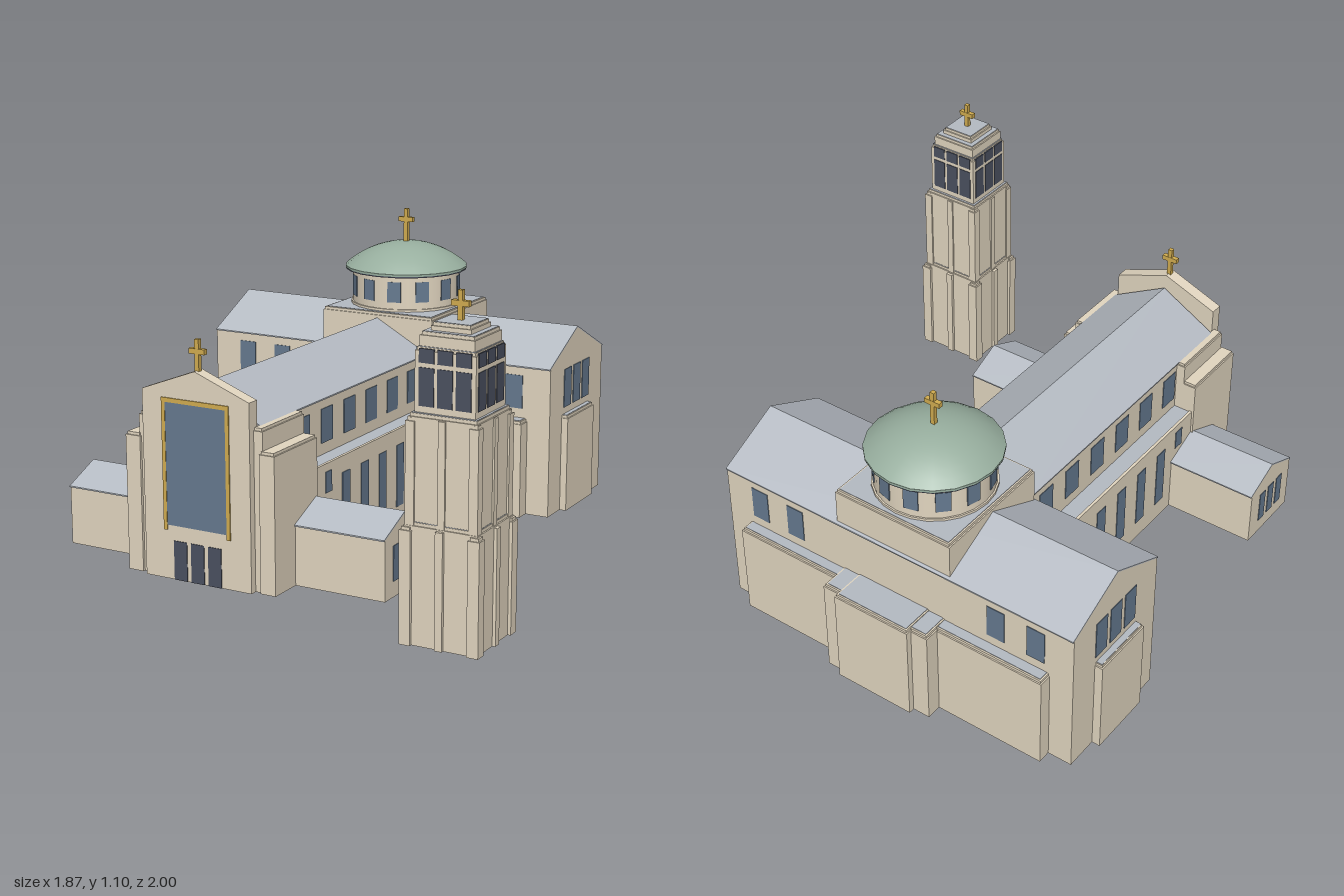
import * as THREE from 'three';

const mat = (name, color, extra = {}) => {
  const m = new THREE.MeshStandardMaterial({ color, ...extra });
  m.name = name;
  return m;
};

// removes the floor, leaving a shell open below
const openBelow = (geo) => {
  const g = geo.index ? geo.toNonIndexed() : geo;
  g.computeBoundingBox();
  const low = g.boundingBox.min.y + 1e-5;
  const p = g.attributes.position;
  const keep = [];
  for (let i = 0; i < p.count; i += 3)
    if (Math.max(p.getY(i), p.getY(i + 1), p.getY(i + 2)) > low) keep.push(i, i + 1, i + 2);
  g.clearGroups();
  g.setIndex(keep);
  return g;
};

export function createModel() {
  const stone = mat('stone', 0xe2d6c0, { side: THREE.DoubleSide });
  const slate = mat('slate', 0xb5bbc3);
  const copper = mat('copper', 0x98af9f);
  const glass = mat('glass', 0x667a90);
  const dark = mat('darkOpening', 0x4b5160);
  const gold = mat('gold', 0xd2ad50);

  const model = new THREE.Group();
  model.name = 'church';
  const CX = -0.1875; // church axis
  const CZ = -0.635;  // crossing centre

  const add = (parent, name, geo, material, x = 0, y = 0, z = 0) => {
    const m = new THREE.Mesh(geo, material);
    m.name = name;
    m.position.set(x, y, z);
    parent.add(m);
    return m;
  };
  // box given by its extents
  const block = (parent, name, material, x0, x1, y0, y1, z0, z1) =>
    add(parent, name, new THREE.BoxGeometry(x1 - x0, y1 - y0, z1 - z0), material,
      (x0 + x1) / 2, (y0 + y1) / 2, (z0 + z1) / 2);
  // open shell with a stepped coping, and optionally a flat slate roof inside it
  const coped = (parent, name, x0, x1, y0, y1, z0, z1, inset = 0.011) => {
    const c = 0.005;
    const shell = block(parent, name, stone, x0, x1, y0, y1 - 0.01, z0, z1);
    shell.geometry = openBelow(shell.geometry);
    block(parent, name + 'Coping', stone, x0 + c, x1 - c, y1 - 0.01, y1, z0 + c, z1 - c);
    if (inset) block(parent, name + 'Roof', slate, x0 + inset, x1 - inset, y1 - 0.004, y1 + 0.002, z0 + inset, z1 - inset);
  };
  const extrude = (pts, depth) =>
    new THREE.ExtrudeGeometry(new THREE.Shape(pts.map(([a, b]) => new THREE.Vector2(a, b))),
      { depth, bevelEnabled: false }).translate(0, 0, -depth / 2);
  // gabled volume with a thin oversailing roof; ridge runs along z, or along x when turned
  const EAVE = 0.006;
  const gabled = (name, x, z, half, length, base, eave, ridge, alongX) => {
    const g = new THREE.Group();
    g.name = name;
    const t = 0.005, w = half - EAVE;
    const wallTop = eave - t + (ridge - eave) * EAVE / half;
    add(g, name + 'Walls', openBelow(extrude([[-w, base], [w, base], [w, wallTop], [0, ridge - t], [-w, wallTop]], length)), stone);
    add(g, name + 'Roof', extrude([[-half, eave], [0, ridge], [half, eave], [half, eave - t], [0, ridge - t], [-half, eave - t]], length), slate);
    g.position.set(x, 0, z);
    if (alongX) g.rotation.y = Math.PI / 2;
    model.add(g);
  };
  // thin plate facing z, or facing x when side is set
  const pane = (parent, name, material, x, z, w, y0, y1, side) =>
    add(parent, name, new THREE.BoxGeometry(side ? 0.005 : w, y1 - y0, side ? w : 0.005), material, x, (y0 + y1) / 2, z);
  const cross = (x, y, z, h) => {
    const g = new THREE.Group();
    g.name = 'cross';
    block(g, 'crossPost', gold, -0.008, 0.008, 0, h, -0.008, 0.008);
    block(g, 'crossArm', gold, -0.03, 0.03, h - 0.05, h - 0.032, -0.009, 0.009);
    g.position.set(x, y, z);
    model.add(g);
  };

  // Transept with its lower surrounding ranges and rear apse
  gabled('transept', CX, CZ, 0.245, 1.445, 0, 0.562, 0.68, true);
  coped(model, 'transeptAisle', -0.82, 0.445, 0, 0.365, -0.922, -0.342);
  coped(model, 'transeptEndBay', -0.94, 0.56, 0, 0.365, -0.75, -0.505, 0.008);
  coped(model, 'apse', -0.405, 0.03, 0, 0.37, -0.978, -0.8);
  coped(model, 'apseBay', -0.34, -0.035, 0, 0.375, -1.0, -0.85);
  for (const s of [-1, 1]) {
    for (const d of [0.42, 0.577])
      for (const f of [-1, 1]) pane(model, 'transeptWindow', glass, CX + s * d, CZ + f * 0.239, 0.07, 0.402, 0.527);
    for (const d of [-0.083, 0, 0.083]) pane(model, 'transeptEndWindow', glass, CX + s * 0.7225, CZ + d, 0.064, 0.392, 0.537, true);
  }

  // Crossing, drum and dome
  coped(model, 'crossing', CX - 0.235, CX + 0.235, 0.45, 0.7, CZ - 0.235, CZ + 0.235);
  const dome = new THREE.Group();
  dome.name = 'dome';
  dome.position.set(CX, 0, CZ);
  model.add(dome);
  add(dome, 'drumBase', new THREE.CylinderGeometry(0.213, 0.213, 0.015, 24), stone, 0, 0.7035, 0);
  add(dome, 'drum', new THREE.CylinderGeometry(0.207, 0.207, 0.14, 24), stone, 0, 0.77, 0);
  for (let i = 0; i < 12; i++) {
    const a = (i + 0.5) * Math.PI / 6;
    const w = pane(dome, 'drumWindow', glass, Math.sin(a) * 0.205, Math.cos(a) * 0.205, 0.052, 0.737, 0.815);
    w.rotation.y = a;
  }
  add(dome, 'domeSoffit', new THREE.CylinderGeometry(0.233, 0.233, 0.006, 20), dark, 0, 0.839, 0);
  add(dome, 'domeRim', new THREE.CylinderGeometry(0.235, 0.235, 0.008, 20), copper, 0, 0.845, 0);
  const arc = [];
  const R = 0.35, sweep = Math.asin(0.235 / R); // shallow spherical cap
  for (let i = 0; i <= 8; i++) {
    const a = sweep * (1 - i / 8);
    arc.push(new THREE.Vector2(R * Math.sin(a), 0.94 - R * (1 - Math.cos(a))));
  }
  add(dome, 'domeShell', new THREE.LatheGeometry(arc, 20), copper);
  cross(CX, 0.935, CZ, 0.13);

  // Nave: raised clerestory over hollow aisles
  gabled('nave', CX, 0.19, 0.215, 1.18, 0.352, 0.562, 0.68, false);
  block(model, 'aisleRoof', slate, CX - 0.275, CX + 0.275, 0.354, 0.362, -0.342, 0.55);
  for (const s of [-1, 1]) {
    const wall = CX + s * 0.2795;
    block(model, 'aisleWall', stone, wall - 0.0055, wall + 0.0055, 0, 0.366, -0.342, 0.55);
    for (let i = 0; i < 6; i++) pane(model, 'clerestoryWindow', glass, CX + s * 0.209, 0.498 - i * 0.158, 0.08, 0.403, 0.525, true);
    for (let i = 0; i < 5; i++) pane(model, 'aisleWindow', glass, CX + s * 0.285, 0.34 - i * 0.1315, 0.053, 0.075, 0.307, true);
    pane(model, 'aisleSmallWindow', glass, CX + s * 0.285, 0.46, 0.042, 0.263, 0.337, true);

    // Stepped flanks of the entrance front
    const span = (a, b) => (s > 0 ? [CX + a, CX + b] : [CX - b, CX - a]);
    const [i0, i1] = span(0.205, 0.243), [o0, o1] = span(0.235, 0.293);
    coped(model, 'innerFlank', i0, i1, 0, 0.562, 0.548, 0.812, 0);
    coped(model, 'outerFlank', o0, o1, 0, 0.487, 0.548, 0.822, 0);

    // Low side wings
    gabled('sideWing', CX + s * 0.455, 0.557, 0.143, 0.354, 0, 0.213, 0.275, true);
    for (const d of [-0.059, 0, 0.059]) pane(model, 'wingWindow', glass, CX + s * 0.632, 0.561 + d, 0.038, 0.055, 0.178, true);
  }

  // Entrance front
  add(model, 'facade', extrude([[-0.21, 0], [0.21, 0], [0.21, 0.65], [0, 0.73], [-0.21, 0.65]], 0.048), stone, CX, 0, 0.814);
  pane(model, 'greatWindow', glass, CX, 0.838, 0.236, 0.19, 0.617);
  for (const s of [-1, 1]) pane(model, 'windowFrameSide', gold, CX + s * 0.125, 0.8395, 0.014, 0.172, 0.63);
  pane(model, 'windowFrameTop', gold, CX, 0.8395, 0.264, 0.615, 0.63);
  for (const d of [-0.068, 0, 0.068]) pane(model, 'door', dark, CX + d, 0.838, 0.052, 0, 0.137);
  cross(CX, 0.725, 0.814, 0.11);

  // Free-standing bell tower
  const tower = new THREE.Group();
  tower.name = 'bellTower';
  tower.position.set(0.793, 0, 0.862);
  model.add(tower);
  const tier = (name, half, y0, y1) => coped(tower, name, -half, half, y0, y1, -half, half, 0.007);
  tier('towerBase', 0.125, 0, 0.395);
  tier('towerShaft', 0.117, 0.385, 0.735);
  tier('belfry', 0.102, 0.73, 0.937);
  tier('belfryCap', 0.092, 0.93, 0.982);
  tier('belfryTop', 0.067, 0.98, 1.008);
  for (const sx of [-1, 1])
    for (const sz of [-1, 1]) {
      const corner = (name, inner, outer, y0, y1) => coped(tower, name,
        Math.min(sx * inner, sx * outer), Math.max(sx * inner, sx * outer), y0, y1,
        Math.min(sz * inner, sz * outer), Math.max(sz * inner, sz * outer), 0);
      corner('baseButtress', 0.097, 0.136, 0, 0.38);
      corner('shaftButtress', 0.092, 0.123, 0.37, 0.722);
    }
  for (let k = 0; k < 4; k++) {
    const face = new THREE.Group();
    face.name = 'towerFace';
    face.rotation.y = k * Math.PI / 2;
    tower.add(face);
    block(face, 'basePilaster', stone, -0.013, 0.013, 0, 0.38, 0.12, 0.136);
    block(face, 'shaftPilaster', stone, -0.012, 0.012, 0.37, 0.722, 0.11, 0.123);
    for (const d of [-0.062, 0, 0.062]) {
      pane(face, 'belfryOpening', dark, d, 0.102, 0.051, 0.757, 0.876);
      pane(face, 'belfryUpperOpening', dark, d, 0.102, 0.051, 0.89, 0.934);
    }
  }
  cross(0.793, 1.005, 0.862, 0.097);

  return model;
}
